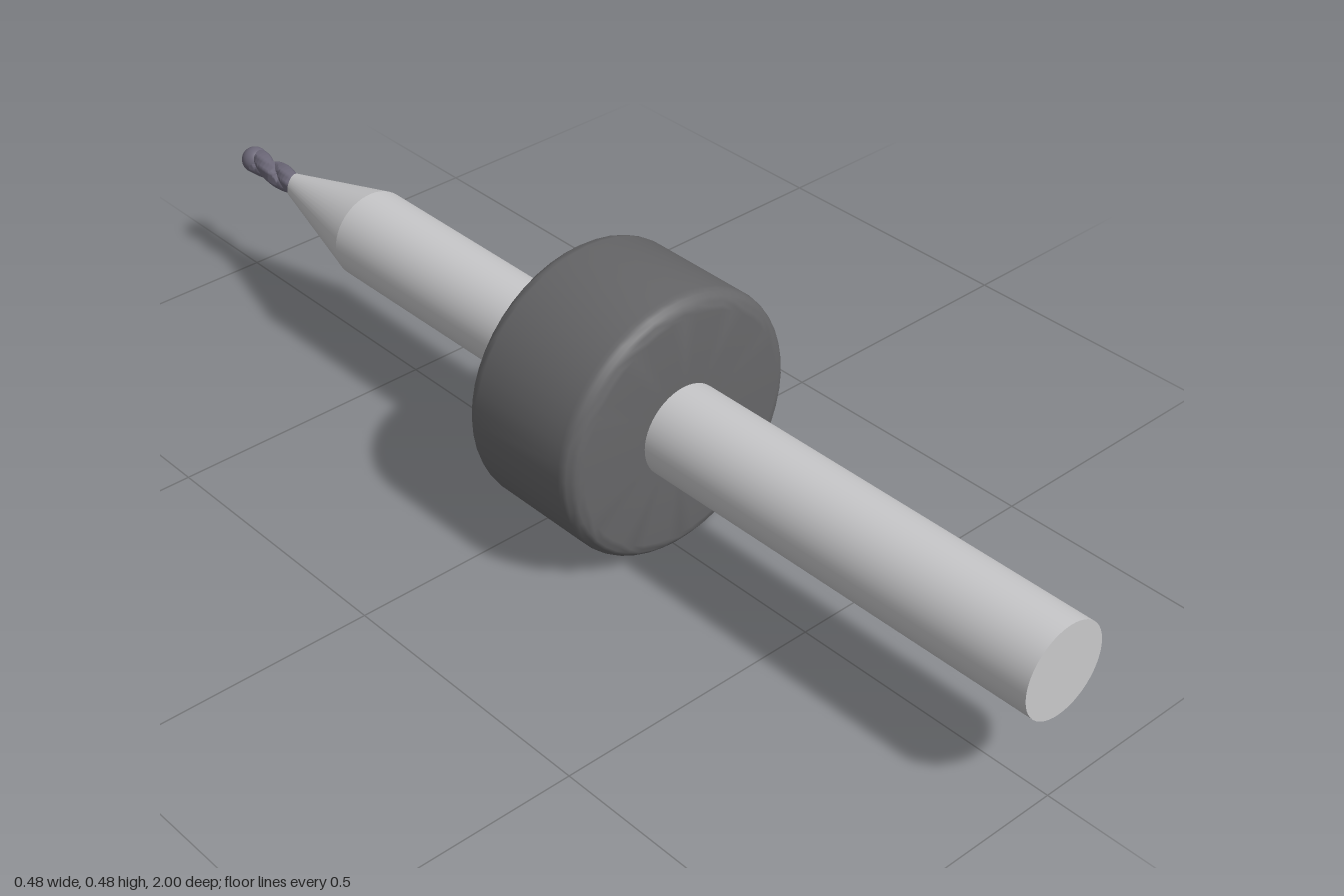
import * as THREE from 'three';
import { toCreasedNormals } from 'three/addons/utils/BufferGeometryUtils.js';

const AXIS_Y = 0.2415;

export function createModel() {
  const tool = new THREE.Group();
  tool.name = 'ballEndMill';

  const steel = new THREE.MeshStandardMaterial({ color: 0xc8c8ca });
  steel.name = 'steel';
  const collarGrey = new THREE.MeshStandardMaterial({ color: 0x666668 });
  collarGrey.name = 'darkGrey';
  const coating = new THREE.MeshStandardMaterial({ color: 0x6c6878 });
  coating.name = 'purpleGrey';

  const add = (name, geometry, material) => {
    const mesh = new THREE.Mesh(geometry, material);
    mesh.name = name;
    mesh.position.y = AXIS_Y;
    tool.add(mesh);
  };

  // Cylinder or cone along z, from zFront to zBack
  const rod = (rFront, rBack, zFront, zBack, radial = 48, rows = 1) =>
    new THREE.CylinderGeometry(rBack, rFront, zFront - zBack, radial, rows)
      .rotateX(-Math.PI / 2)
      .translate(0, 0, (zFront + zBack) / 2);

  // Straight shank and tapered neck
  add('shank', rod(0.083, 0.083, 1, -0.61), steel);
  add('taper', rod(0.083, 0.021, -0.61, -0.85), steel);

  // Depth collar with rounded rims
  const R = 0.241, f = 0.03, back = -0.053, front = 0.208;
  const profile = [new THREE.Vector2(0.08, -front)];
  for (const [t, start] of [[-front + f, -Math.PI / 2], [-back - f, 0]]) {
    for (let i = 0; i <= 6; i++) {
      const a = start + (i / 6) * (Math.PI / 2);
      profile.push(new THREE.Vector2(R - f + f * Math.cos(a), t + f * Math.sin(a)));
    }
  }
  profile.push(new THREE.Vector2(0.08, -back));
  const collar = new THREE.LatheGeometry(profile, 48).rotateX(-Math.PI / 2);
  add('collar', toCreasedNormals(collar, Math.PI / 5), collarGrey);

  // Cutting flutes: two-lobed section twisted around the axis
  const flutes = rod(1, 1, -0.835, -0.965, 40, 40);
  const p = flutes.attributes.position;
  for (let i = 0; i < p.count; i++) {
    const x = p.getX(i), y = p.getY(i), z = p.getZ(i);
    const angle = Math.atan2(y, x);
    const lobe = Math.abs(Math.cos(angle - (z + 0.835) * 42));
    const r = Math.hypot(x, y) * (0.013 + 0.011 * Math.sqrt(lobe));
    p.setXY(i, r * Math.cos(angle), r * Math.sin(angle));
  }
  add('flutes', toCreasedNormals(flutes, Math.PI / 4), coating);

  // Ball tip
  add('ballTip', new THREE.SphereGeometry(0.025, 32, 20).translate(0, 0, -0.975), coating);

  return tool;
}
